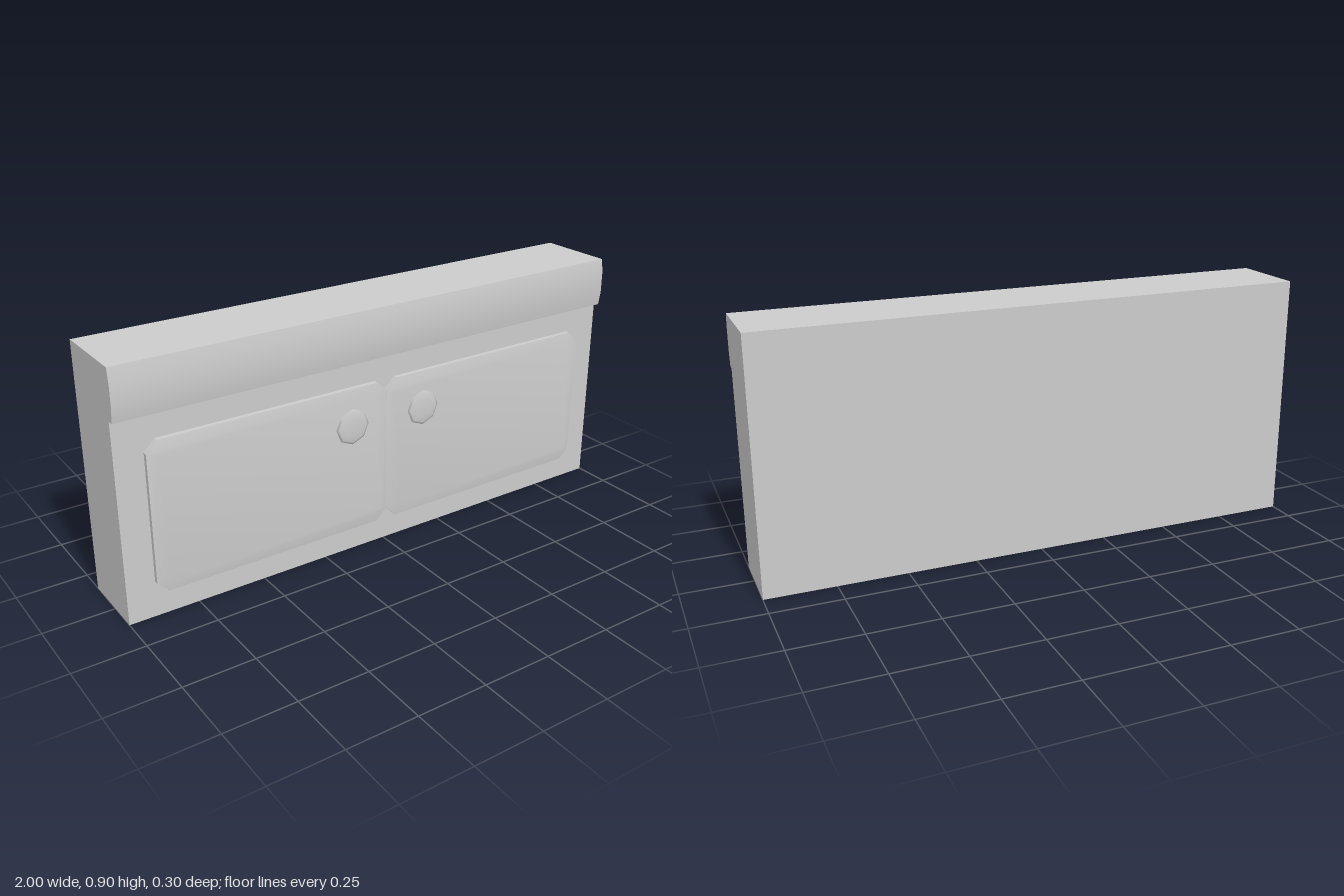
import * as THREE from 'three';
import { toCreasedNormals } from 'three/addons/utils/BufferGeometryUtils.js';

const shapeFrom = (points) => new THREE.Shape(points.map(([x, y]) => new THREE.Vector2(x, y)));

export function createModel() {
  const model = new THREE.Group();
  const grey = new THREE.MeshStandardMaterial({ color: 0xcccccc });
  grey.name = 'grey';

  const add = (name, geometry) => {
    const mesh = new THREE.Mesh(geometry, grey);
    mesh.name = name;
    model.add(mesh);
    return mesh;
  };

  // Cabinet: side profile (z, y) with a softly bowed top rail, swept along x
  const profile = shapeFrom([
    [-0.15, 0], [0.115, 0], [0.115, 0.72], [0.137, 0.72],
    [0.145, 0.77], [0.145, 0.85], [0.137, 0.9], [-0.15, 0.9],
  ]);
  const cabinet = new THREE.ExtrudeGeometry(profile, { depth: 2, bevelEnabled: false });
  cabinet.rotateY(-Math.PI / 2).translate(1, 0, 0);
  add('cabinet', toCreasedNormals(cabinet, 0.5));

  // Door: rectangle with cut corners and a shallow bevel on its face
  const w = 0.45, h = 0.27, c = 0.04;
  const outline = shapeFrom([
    [-w + c, -h], [w - c, -h], [w, -h + c], [w, h - c],
    [w - c, h], [-w + c, h], [-w, h - c], [-w, -h + c],
  ]);
  const door = toCreasedNormals(new THREE.ExtrudeGeometry(outline, {
    depth: 0.022, bevelSegments: 1, bevelThickness: 0.006, bevelSize: 0.032, bevelOffset: -0.032,
  }), 0.5);

  // Knob: flattened eight-sided button
  const knob = new THREE.SphereGeometry(0.066, 8, 6);
  knob.rotateX(Math.PI / 2).scale(1, 1, 0.0075 / 0.066);

  for (const [side, s] of [['left', 1], ['right', -1]]) {
    add(side + 'Door', door).position.set(s * 0.45, 0.36, 0.11);
    add(side + 'Knob', knob).position.set(s * 0.15, 0.495, 0.1425);
  }
  return model;
}
